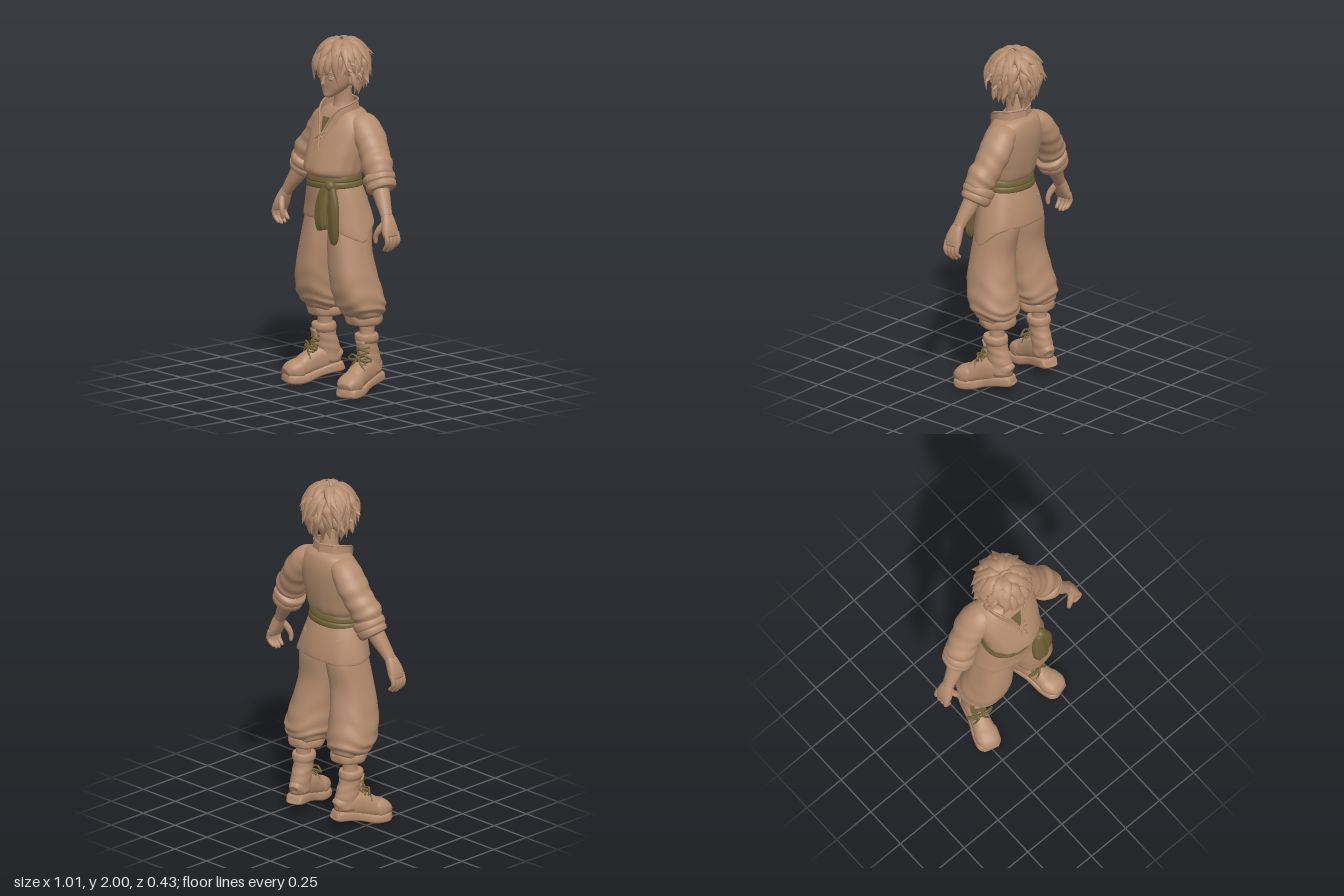
import * as THREE from 'three';

const tan = new THREE.MeshStandardMaterial({ color: 0xb38b6d, side: THREE.DoubleSide });
tan.name = 'tan';
const olive = new THREE.MeshStandardMaterial({ color: 0x6f6035, side: THREE.DoubleSide });
olive.name = 'olive';

const V = (x, y, z) => new THREE.Vector3(x, y, z);
let seed = 7;
const rand = () => (seed = (seed * 16807) % 2147483647) / 2147483647;

function add(parent, name, geo, mat = tan) {
  const m = new THREE.Mesh(geo, mat);
  m.name = name;
  parent.add(m);
  return m;
}

// Closed skin through sections [x, y, z, halfWidth, halfDepth]; flat keeps every ring level.
function loft(secs, { seg = 28, step = 5, sq = 1, up = V(0, 0, 1), flat = false, fold = null, warp = null } = {}) {
  const path = new THREE.CatmullRomCurve3(secs.map(s => V(s[0], s[1], s[2])), false, 'catmullrom', 0.5);
  const size = new THREE.CatmullRomCurve3(secs.map(s => V(s[3], s[4], 0)), false, 'catmullrom', 0.5);
  const n = (secs.length - 1) * step, pos = [], idx = [];
  const pw = c => Math.sign(c) * Math.abs(c) ** sq;
  for (let i = 0; i <= n; i++) {
    const t = i / n, c = path.getPoint(t), r = size.getPoint(t);
    let u = V(1, 0, 0), v = V(0, 0, 1);
    if (!flat) {
      const d = path.getTangent(t);
      v = up.clone().addScaledVector(d, -up.dot(d)).normalize();
      u = v.clone().cross(d).normalize();
    }
    for (let j = 0; j < seg; j++) {
      const a = j / seg * Math.PI * 2, k = 1 + (fold ? fold(a, t) : 0);
      const p = c.clone().addScaledVector(u, pw(Math.cos(a)) * Math.max(r.x, 0.001) * k)
        .addScaledVector(v, pw(Math.sin(a)) * Math.max(r.y, 0.001) * k);
      if (warp) warp(p);
      pos.push(p.x, p.y, p.z);
      const j2 = (j + 1) % seg, A = i * seg + j, B = i * seg + j2;
      if (i < n) idx.push(A, B, A + seg, B, B + seg, A + seg);
    }
  }
  // end caps
  for (const [row, flip] of [[0, false], [n, true]]) {
    const c = path.getPoint(row / n), k = pos.length / 3, o = row * seg;
    if (warp) warp(c);
    pos.push(c.x, c.y, c.z);
    for (let j = 0; j < seg; j++) {
      const A = o + j, B = o + (j + 1) % seg;
      idx.push(...(flip ? [k, A, B] : [k, B, A]));
    }
  }
  const g = new THREE.BufferGeometry();
  g.setAttribute('position', new THREE.Float32BufferAttribute(pos, 3));
  g.setIndex(idx);
  g.computeVertexNormals();
  return g;
}

const tube = (pts, r, closed = false) =>
  new THREE.TubeGeometry(new THREE.CatmullRomCurve3(pts.map(p => V(...p)), closed), 20, r, 7, closed);
const ball = (x, y, z, rx, ry, rz) => new THREE.SphereGeometry(1, 20, 14).scale(rx, ry, rz).translate(x, y, z);

// Band of cloth between two edge curves
function band(low, high, n = 32) {
  const a = new THREE.CatmullRomCurve3(low.map(p => V(...p))), b = new THREE.CatmullRomCurve3(high.map(p => V(...p)));
  const g = new THREE.PlaneGeometry(1, 1, n, 4), p = g.attributes.position;
  for (let i = 0; i < p.count; i++) {
    const t = p.getX(i) + 0.5, q = a.getPoint(t).lerp(b.getPoint(t), p.getY(i) + 0.5);
    p.setXYZ(i, q.x, q.y, q.z);
  }
  g.computeVertexNormals();
  return g;
}

function buildHead(g) {
  add(g, 'neck', loft([[0, 1.73, -0.03, 0.048, 0.05], [0, 1.63, -0.045, 0.05, 0.054], [0, 1.55, -0.04, 0.075, 0.075]], { flat: true }));
  add(g, 'head', loft([[0, 1.95, -0.03, 0.04, 0.05], [0, 1.9, -0.03, 0.098, 0.112], [0, 1.84, -0.02, 0.107, 0.12],
    [0, 1.78, -0.008, 0.1, 0.107], [0, 1.73, 0.01, 0.084, 0.084], [0, 1.695, 0.03, 0.06, 0.06],
    [0, 1.668, 0.055, 0.03, 0.034], [0, 1.66, 0.06, 0.012, 0.014]], { flat: true }));
  add(g, 'nose', loft([[0, 1.785, 0.094, 0.007, 0.008], [0, 1.75, 0.102, 0.009, 0.012], [0, 1.738, 0.1, 0.01, 0.014], [0, 1.73, 0.094, 0.004, 0.004]], { flat: true, seg: 12 }));
  add(g, 'mouth', tube([[-0.02, 1.7, 0.079], [0, 1.702, 0.09], [0.02, 1.7, 0.079]], 0.004));
  for (const s of [1, -1]) {
    add(g, 'eye', ball(s * 0.042, 1.772, 0.083, 0.02, 0.013, 0.011));
    add(g, 'eyelid', tube([[s * 0.018, 1.778, 0.096], [s * 0.042, 1.787, 0.091], [s * 0.066, 1.777, 0.077]], 0.004));
    add(g, 'eyebrow', tube([[s * 0.016, 1.798, 0.1], [s * 0.045, 1.81, 0.093], [s * 0.07, 1.802, 0.077]], 0.004));
    add(g, 'ear', ball(s * 0.098, 1.762, -0.02, 0.013, 0.032, 0.02));
  }
}

function buildHair(g) {
  const hair = new THREE.Group();
  hair.name = 'hair';
  g.add(hair);
  add(hair, 'hairCap', ball(0, 1.848, -0.04, 0.126, 0.124, 0.135));
  const S = (phi, th, s) => V(0.13 * s * Math.sin(phi) * Math.sin(th),
    1.845 + (Math.cos(phi) > 0 ? 0.125 : 0.15) * s * Math.cos(phi), -0.04 + 0.133 * s * Math.sin(phi) * Math.cos(th));
  // rows of pointed locks flowing down from the crown: start angle, count, half width, length
  [[0.12, 9, 0.034, 1.45], [0.45, 13, 0.034, 1.3], [0.8, 16, 0.031, 1.15], [1.15, 17, 0.028, 1.05], [1.5, 17, 0.027, 1], [1.75, 15, 0.026, 1]].forEach(([phi, count, w, size], row) => {
    for (let i = 0; i < count; i++) {
      const th = ((i + (row % 2) * 0.5) / count) * Math.PI * 2 - Math.PI + (rand() - 0.5) * 0.25;
      const front = Math.abs(th);
      if ((front < 0.85 && phi > 0.7) || (front < 1.35 && phi > 1.3)) continue;
      const sweep = (rand() - 0.5) * 0.4, len = size * (0.85 + rand() * 0.3);
      const out = (row < 1 ? 1.16 : front < 0.9 ? 1.16 : 1.27) + rand() * 0.15;
      const at = [[phi, th, 0.93], [phi + 0.25 * len, th + sweep * 0.4, 1.06], [phi + 0.55 * len, th + sweep, 1.13],
        [phi + 0.82 * len, th + sweep * 1.8, out]].map(a => S(...a));
      const secs = at.map((p, k) => [p.x, p.y, p.z, [w * 0.6, w, w * 0.65, 0.001][k], [0.012, 0.02, 0.014, 0.001][k]]);
      add(hair, 'hairLock', loft(secs, { seg: 8, step: 4, up: S(phi + 0.4, th, 1).sub(V(0, 1.845, -0.04)).normalize() }));
    }
  });
  // fringe falling between and beside the eyes
  for (const [x, tx, ty] of [[-0.07, -0.1, 1.74], [-0.035, -0.06, 1.79], [0, 0.008, 1.755], [0.04, 0.052, 1.79], [0.075, 0.105, 1.74]])
    add(hair, 'fringeLock', loft([[x * 0.5, 1.94, 0.045, 0.02, 0.01], [x, 1.88, 0.1 - x * x * 4, 0.03, 0.017],
      [(x + tx) / 2, 1.825, 0.124 - x * x * 6, 0.02, 0.012], [tx, ty, 0.118 - x * x * 7, 0.001, 0.001]], { seg: 8 }));
  // flicked side tips
  for (const s of [1, -1])
    for (const [y, z, tx, ty] of [[1.9, 0.01, 0.168, 1.855], [1.87, 0.03, 0.172, 1.82], [1.85, -0.03, 0.18, 1.79], [1.82, -0.09, 0.168, 1.745], [1.8, -0.01, 0.15, 1.715]])
      add(hair, 'sideLock', loft([[s * 0.1, y + 0.03, z, 0.018, 0.012], [s * 0.128, y, z, 0.024, 0.015],
        [s * 0.143, (y + ty) / 2 - 0.01, z, 0.018, 0.012], [s * tx, ty, z, 0.001, 0.001]], { seg: 8, up: V(s, 0, 0) }));
  // stray curl on top
  add(hair, 'strayCurl', loft([[-0.02, 1.96, -0.04, 0.012, 0.014], [0.0, 1.988, -0.035, 0.008, 0.01],
    [0.03, 1.99, -0.025, 0.006, 0.008], [0.062, 1.967, -0.015, 0.001, 0.001]], { seg: 8 }));
}

function buildShirt(g) {
  add(g, 'shirtBody', loft([[0, 1.6, -0.045, 0.085, 0.07], [0, 1.572, -0.048, 0.145, 0.098], [0, 1.5, -0.035, 0.19, 0.124],
    [0, 1.4, -0.01, 0.188, 0.142], [0, 1.31, 0.014, 0.176, 0.151], [0, 1.25, 0.028, 0.168, 0.15], [0, 1.215, 0.025, 0.15, 0.125]],
  { flat: true, seg: 48, step: 6, sq: 0.9, fold: (a, t) => 0.025 * t * t * Math.sin(a * 11 + Math.sin(a * 3) * 2) }));
  // hem falls lower over the left hip
  add(g, 'shirtSkirt', loft([[0, 1.2, 0.022, 0.158, 0.125], [0, 1.13, 0.012, 0.183, 0.136], [0, 1.05, 0, 0.208, 0.144],
    [0, 0.99, -0.004, 0.222, 0.149], [0, 0.98, -0.004, 0.212, 0.14]], { flat: true, seg: 56, sq: 0.9,
    fold: (a, t) => 0.02 * t * Math.sin(a * 8 + 1),
    warp: p => {
      const d = Math.max(0, 1.1 - p.y), left = Math.max(0, p.x / 0.22) ** 1.5, fore = THREE.MathUtils.smoothstep(p.z, -0.13, 0.02);
      p.y -= d * (0.95 * left * fore + 0.15 * Math.max(0, -p.x / 0.22) + 0.15 * (1 - fore));
      p.x += d * 0.2 * left;
    } }));
  add(g, 'undershirt', band([[-0.036, 1.548, 0.073], [-0.006, 1.455, 0.114]], [[0.036, 1.548, 0.073], [0.006, 1.455, 0.114]], 6), olive);
  for (const s of [1, -1]) {
    const low = [[0, 1.59, -0.125], [s * 0.09, 1.588, -0.085], [s * 0.112, 1.57, -0.01], [s * 0.082, 1.54, 0.055], [s * 0.05, 1.49, 0.088], [s * 0.014, 1.425, 0.125]];
    const high = [[0, 1.642, -0.118], [s * 0.085, 1.642, -0.08], [s * 0.106, 1.63, -0.01], [s * 0.072, 1.592, 0.064], [s * 0.034, 1.52, 0.097], [s * 0.002, 1.43, 0.133]];
    add(g, 'collar', band(low, high));
    add(g, 'collarEdge', tube(high, 0.006));
    add(g, 'collarSeam', tube(low, 0.005));
    add(g, 'neckLace', tube([[s * -0.03, 1.475, 0.108], [0, 1.455, 0.128], [s * 0.035, 1.43, 0.13]], 0.005));
    add(g, 'neckLaceEnd', tube([[0, 1.445, 0.132], [s * 0.012, 1.41, 0.143], [s * 0.018, 1.375, 0.152]], 0.004));
  }
}

function buildArm(g, s) {
  const m = a => a.map(([x, ...r]) => [s * x, ...r]);
  add(g, 'sleeve', loft(m([[0.09, 1.535, -0.055, 0.045, 0.07], [0.15, 1.507, -0.064, 0.072, 0.088], [0.203, 1.44, -0.068, 0.08, 0.095],
    [0.25, 1.365, -0.06, 0.08, 0.086], [0.296, 1.295, -0.046, 0.09, 0.084], [0.328, 1.235, -0.043, 0.066, 0.07]]),
  { seg: 36, step: 7, fold: (a, t) => 0.05 * t * Math.sin(t * 34 + 2 * Math.sin(a + 1)) }));
  // rolled cuff
  add(g, 'sleeveCuff', loft(m([[0.298, 1.262, -0.041, 0.068, 0.07], [0.306, 1.248, -0.04, 0.09, 0.089], [0.318, 1.225, -0.039, 0.092, 0.09],
    [0.324, 1.214, -0.038, 0.084, 0.083], [0.33, 1.202, -0.038, 0.088, 0.086], [0.342, 1.18, -0.036, 0.08, 0.08], [0.347, 1.172, -0.035, 0.058, 0.06]]), { fold: a => 0.02 * Math.sin(a * 5) }));
  add(g, 'forearm', loft(m([[0.325, 1.22, -0.03, 0.05, 0.05], [0.365, 1.15, -0.018, 0.046, 0.047], [0.405, 1.09, -0.005, 0.036, 0.039], [0.437, 1.04, 0.004, 0.028, 0.034]])));
  const hand = new THREE.Group();
  hand.name = 'hand';
  g.add(hand);
  add(hand, 'palm', loft(m([[0.43, 1.055, 0.002, 0.026, 0.032], [0.449, 1.02, 0.006, 0.029, 0.042], [0.468, 0.975, 0.01, 0.027, 0.051], [0.48, 0.94, 0.01, 0.021, 0.05]]), { sq: 0.8 }));
  for (let i = 0; i < 4; i++) {
    const z = 0.048 - i * 0.026, d = [0.008, 0, 0.004, 0.018][i];
    add(hand, 'finger', loft(m([[0.478, 0.965, z, 0.014, 0.014], [0.491, 0.925, z, 0.014, 0.0135], [0.484, 0.89 + d * 0.6, z * 0.95, 0.0125, 0.0125],
      [0.46, 0.862 + d, z * 0.9, 0.01, 0.01], [0.45, 0.856 + d, z * 0.9, 0.003, 0.003]]), { seg: 12 }));
  }
  add(hand, 'thumb', loft(m([[0.445, 1.015, 0.03, 0.018, 0.018], [0.422, 0.975, 0.052, 0.018, 0.018], [0.406, 0.94, 0.06, 0.014, 0.014],
    [0.404, 0.908, 0.058, 0.011, 0.011], [0.407, 0.896, 0.056, 0.003, 0.003]]), { seg: 12 }));
}

function buildLeg(g, s) {
  const m = a => a.map(([x, ...r]) => [s * x, ...r]);
  add(g, 'trouserLeg', loft(m([[0.085, 1.1, 0, 0.09, 0.115], [0.102, 0.96, -0.005, 0.1, 0.13], [0.123, 0.8, 0.01, 0.113, 0.125],
    [0.148, 0.65, 0, 0.123, 0.138], [0.163, 0.53, -0.025, 0.132, 0.139], [0.165, 0.47, -0.042, 0.122, 0.123], [0.165, 0.42, -0.052, 0.085, 0.085]]),
  { flat: true, seg: 44, step: 8, sq: 0.88,
    fold: (a, t) => 0.07 * Math.max(0, t - 0.35) * Math.sin(t * 40 + 3 * Math.sin(a * 2 + s)) + 0.015 * Math.sin(a * 5 + t * 6) }));
  add(g, 'trouserCuff', loft(m([[0.165, 0.45, -0.05, 0.085, 0.085], [0.165, 0.438, -0.052, 0.1, 0.1], [0.165, 0.41, -0.055, 0.103, 0.101],
    [0.165, 0.39, -0.056, 0.094, 0.094], [0.167, 0.38, -0.057, 0.065, 0.065]]), { flat: true, fold: (a, t) => 0.035 * Math.sin(a * 6 + t * 3) }));
  add(g, 'shin', loft(m([[0.178, 0.44, -0.062, 0.045, 0.047], [0.182, 0.36, -0.063, 0.04, 0.043], [0.184, 0.27, -0.066, 0.042, 0.044]]), { flat: true }));

  // boot, turned outward
  const b = new THREE.Group();
  b.name = 'boot';
  b.position.set(s * 0.208, 0, 0);
  b.rotation.y = s * 0.28;
  g.add(b);
  const up = V(0, 1, 0);
  add(b, 'sole', loft([[0, 0.085, -0.172, 0.035, 0.022], [0, 0.08, -0.155, 0.052, 0.03], [0, 0.072, -0.08, 0.056, 0.03], [0, 0.053, -0.01, 0.055, 0.026],
    [0, 0.03, 0.07, 0.069, 0.028], [0, 0.03, 0.14, 0.07, 0.029], [0, 0.035, 0.172, 0.045, 0.02]], { up, sq: 0.5 }));
  add(b, 'upper', loft([[0, 0.125, -0.158, 0.025, 0.03], [0, 0.135, -0.135, 0.046, 0.055], [0, 0.135, -0.06, 0.055, 0.07], [0, 0.115, 0.02, 0.055, 0.066],
    [0, 0.085, 0.085, 0.063, 0.052], [0, 0.074, 0.135, 0.061, 0.043], [0, 0.06, 0.166, 0.038, 0.022]], { up, sq: 0.85 }));
  add(b, 'toeCap', loft([[0, 0.082, 0.075, 0.06, 0.05], [0, 0.082, 0.085, 0.068, 0.058], [0, 0.074, 0.135, 0.065, 0.047], [0, 0.06, 0.17, 0.042, 0.026]], { up, sq: 0.8 }));
  add(b, 'shaft', loft(m([[-0.006, 0.32, -0.06, 0.055, 0.06], [-0.006, 0.25, -0.074, 0.054, 0.063], [-0.003, 0.19, -0.087, 0.055, 0.07], [0, 0.11, -0.09, 0.055, 0.073]]),
    { flat: true, fold: (a, t) => 0.03 * Math.sin(t * 22 + Math.sin(a) * 2) }));
  add(b, 'bootCollar', loft(m([[-0.006, 0.335, -0.06, 0.045, 0.05], [-0.006, 0.332, -0.06, 0.062, 0.067], [-0.006, 0.305, -0.062, 0.066, 0.07], [-0.006, 0.283, -0.066, 0.056, 0.062]]), { flat: true }));
  add(b, 'tongue', loft(m([[-0.006, 0.3, 0.004, 0.03, 0.012], [-0.003, 0.23, -0.01, 0.03, 0.012], [0, 0.18, 0.012, 0.03, 0.014], [0, 0.13, 0.06, 0.025, 0.012]]), { flat: true }));
  // crossed laces and bow
  for (let i = 0; i < 4; i++)
    for (const k of [1, -1]) {
      const y = 0.255 - i * 0.03, z = [0.004, 0.006, 0.018, 0.04][i];
      add(b, 'lace', tube([[-k * 0.042, y + 0.012, z - 0.026], [0, y, z + 0.004], [k * 0.042, y - 0.016, z - 0.018]], 0.006), olive);
    }
  for (const k of [1, -1]) {
    add(b, 'bowLoop', tube([[0, 0.205, 0.026], [k * 0.04, 0.225, 0.026], [k * 0.077, 0.2, 0.008], [k * 0.045, 0.195, 0.03]], 0.006, true), olive);
    add(b, 'bowEnd', tube([[0, 0.205, 0.028], [k * 0.025, 0.18, 0.042], [k * 0.048, 0.14, 0.038]], 0.006), olive);
  }
  add(b, 'bowKnot', ball(0, 0.205, 0.028, 0.013, 0.012, 0.011), olive);
}

function buildSash(g) {
  const warp = p => { p.y += p.x * 0.05; };
  add(g, 'sash', loft([[0, 1.23, 0.022, 0.15, 0.12], [0, 1.223, 0.022, 0.163, 0.133], [0, 1.2, 0.022, 0.168, 0.139], [0, 1.193, 0.022, 0.164, 0.135],
    [0, 1.183, 0.021, 0.17, 0.14], [0, 1.162, 0.02, 0.171, 0.139], [0, 1.155, 0.02, 0.155, 0.125]], { flat: true, seg: 48, sq: 0.92, warp }), olive);
  add(g, 'sashKnot', ball(0.115, 1.185, 0.148, 0.036, 0.034, 0.03), olive);
  const fold = (a, t) => 0.12 * t * Math.sin(a * 6);
  add(g, 'sashFrontTail', loft([[0.105, 1.195, 0.155, 0.024, 0.018], [0.085, 1.12, 0.17, 0.04, 0.022], [0.084, 1.03, 0.184, 0.046, 0.022],
    [0.094, 0.965, 0.188, 0.042, 0.02], [0.1, 0.94, 0.187, 0.034, 0.012]], { seg: 36, sq: 0.75, fold }), olive);
  add(g, 'sashBackTail', loft([[0.125, 1.185, 0.145, 0.022, 0.018], [0.145, 1.09, 0.152, 0.038, 0.022], [0.15, 0.98, 0.154, 0.042, 0.019],
    [0.15, 0.9, 0.15, 0.034, 0.015], [0.142, 0.86, 0.148, 0.018, 0.008]], { seg: 36, sq: 0.85, fold }), olive);
}

export function createModel() {
  seed = 7;
  const g = new THREE.Group();
  g.name = 'youngAdventurer';
  buildHead(g);
  buildHair(g);
  buildShirt(g);
  buildSash(g);
  add(g, 'hips', loft([[0, 1.15, 0, 0.15, 0.115], [0, 1.04, -0.004, 0.18, 0.125], [0, 0.98, -0.006, 0.12, 0.1], [0, 0.95, -0.006, 0.04, 0.06]], { flat: true }));
  for (const s of [1, -1]) {
    buildArm(g, s);
    buildLeg(g, s);
  }
  return g;
}
